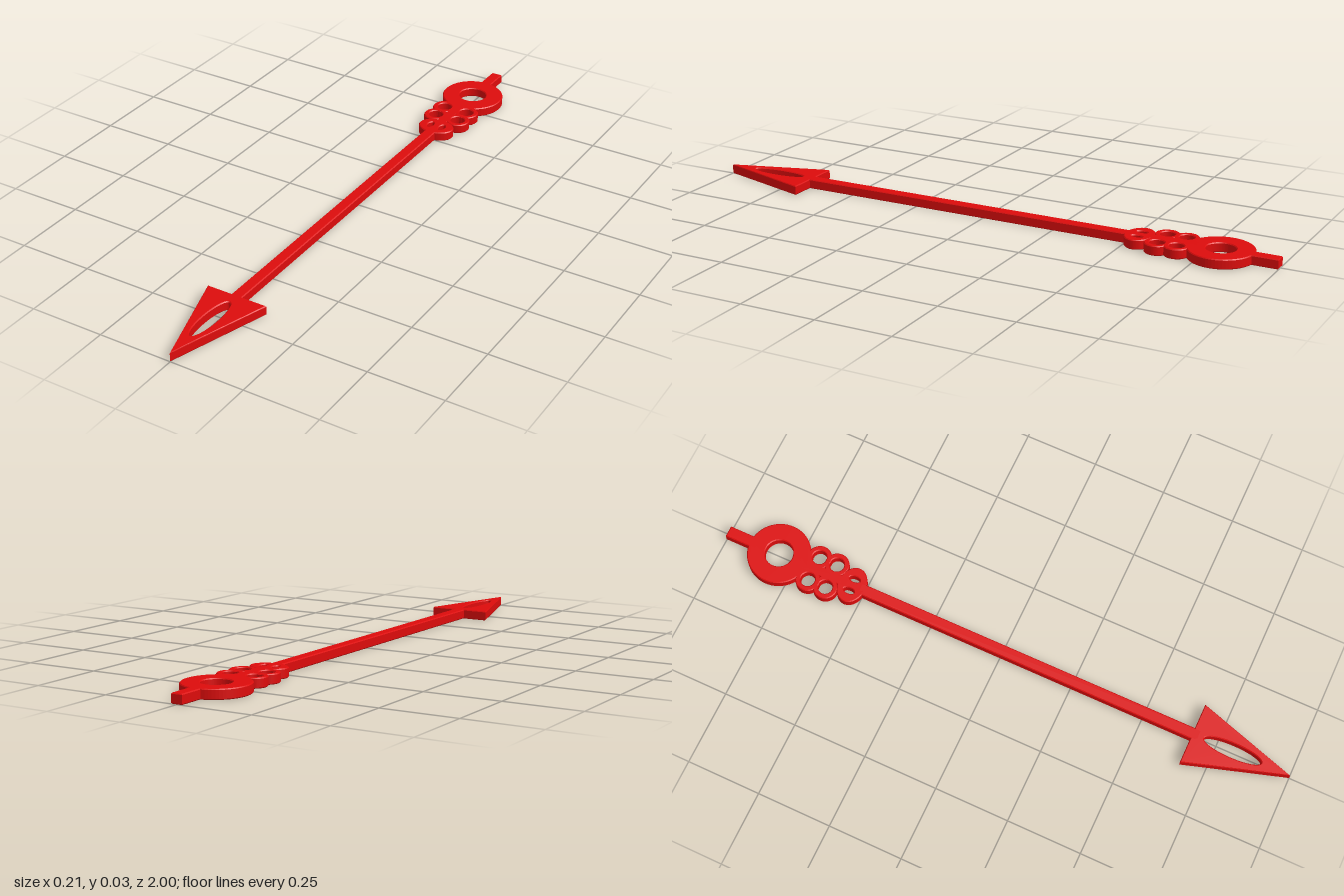
import * as THREE from 'three';

const THICK = 0.032, BEVEL = 0.003;
const material = new THREE.MeshStandardMaterial({ color: 0xdd0c0c });

// Elliptical outline centred on (x, z)
function ellipse(x, z, rx, rz = rx, Type = THREE.Path) {
  return new Type().absellipse(x, z, rx, rz, 0, Math.PI * 2, false);
}

function polygon(points) {
  return new THREE.Shape(points.map(([x, z]) => new THREE.Vector2(x, z)));
}

function bar(halfWidth, z0, z1) {
  return polygon([[-halfWidth, z0], [halfWidth, z0], [halfWidth, z1], [-halfWidth, z1]]);
}

// Flat plate lying on the ground, drawn in x and z, with softened rims
function plate(name, shape, holes = []) {
  shape.holes.push(...holes);
  const geometry = new THREE.ExtrudeGeometry(shape, {
    depth: THICK - 2 * BEVEL, curveSegments: 32,
    bevelEnabled: true, bevelSegments: 1,
    bevelSize: BEVEL, bevelThickness: BEVEL, bevelOffset: -BEVEL,
  });
  geometry.rotateX(Math.PI / 2);
  geometry.translate(0, THICK - BEVEL, 0);
  const mesh = new THREE.Mesh(geometry, material);
  mesh.name = name;
  return mesh;
}

export function createModel() {
  const model = new THREE.Group();
  model.name = 'clockHand';

  // Long shaft, short tail and the spine between the small rings
  model.add(plate('shaft', bar(0.019, -0.515, 0.69)));
  model.add(plate('tail', bar(0.019, -1, -0.89)));
  model.add(plate('spine', bar(0.018, -0.74, -0.57)));

  // Pierced arrowhead
  model.add(plate('arrowhead', polygon([[-0.105, 0.667], [0.105, 0.667], [0, 1]]),
    [ellipse(0, 0.804, 0.024, 0.098)]));

  // Large hub ring
  model.add(plate('hubRing', ellipse(0, -0.811, 0.106, 0.106, THREE.Shape),
    [ellipse(0, -0.811, 0.047)]));

  // Two mirrored pairs of small rings
  for (const z of [-0.683, -0.619]) {
    for (const side of [-1, 1]) {
      model.add(plate(side > 0 ? 'leftSmallRing' : 'rightSmallRing',
        ellipse(side * 0.043, z, 0.041, 0.041, THREE.Shape),
        [ellipse(side * 0.043, z, 0.024)]));
    }
  }

  // Twin-eyed collar where the shaft begins
  model.add(plate('collar', ellipse(0, -0.543, 0.063, 0.047, THREE.Shape),
    [-1, 1].map((side) => ellipse(side * 0.022, -0.543, 0.01, 0.019))));

  return model;
}
